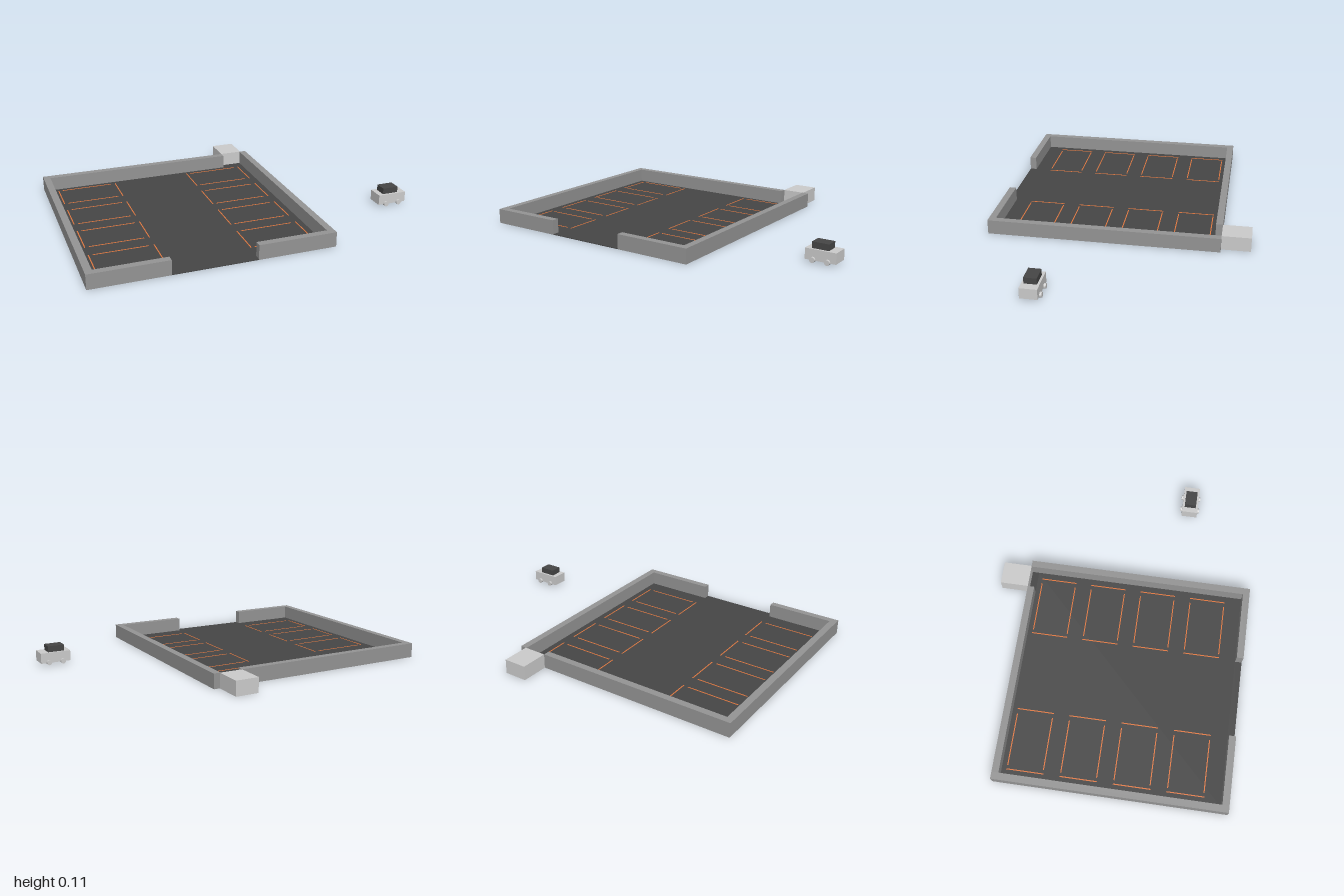
import * as THREE from 'three';

const mat = (color) => new THREE.MeshStandardMaterial({ color });

export function createModel() {
  const model = new THREE.Group();
  const light = mat(0xcccccc), wallGrey = mat(0x949494), dark = mat(0x464646), orange = mat(0xe07840);

  // Box given by its extents on each axis
  function box(parent, name, material, [x0, x1], [y0, y1], [z0, z1]) {
    const mesh = new THREE.Mesh(new THREE.BoxGeometry(x1 - x0, y1 - y0, z1 - z0), material);
    mesh.position.set((x0 + x1) / 2, (y0 + y1) / 2, (z0 + z1) / 2);
    mesh.name = name;
    parent.add(mesh);
  }

  // Asphalt floor, running out through the two wall gaps
  const floorY = [0, 0.004];
  box(model, 'floor', dark, [-0.96, 0.31], floorY, [-0.55, 0.71]);
  box(model, 'entranceFloor', dark, [-0.567, -0.097], floorY, [0.71, 0.75]);
  box(model, 'boothFloor', dark, [0.18, 0.31], floorY, [-0.59, -0.55]);

  // Low perimeter walls
  const wallY = [0, 0.085];
  box(model, 'rightWall', wallGrey, [-1, -0.96], wallY, [-0.59, 0.75]);
  box(model, 'leftWall', wallGrey, [0.31, 0.35], wallY, [-0.59, 0.75]);
  box(model, 'backWall', wallGrey, [-0.96, 0.18], wallY, [-0.59, -0.55]);
  box(model, 'frontWallRight', wallGrey, [-0.96, -0.567], wallY, [0.71, 0.75]);
  box(model, 'frontWallLeft', wallGrey, [-0.097, 0.31], wallY, [0.71, 0.75]);

  // Booth behind the back gap
  box(model, 'booth', light, [0.18, 0.315], wallY, [-0.757, -0.59]);

  // Two columns of four parking bays, each outlined by four painted lines
  const lineY = [0.004, 0.0055], w = 0.003;
  for (const x of [-0.92, -0.086]) {
    for (let row = 0; row < 4; row++) {
      const z = -0.519 + row * 0.307;
      const bay = new THREE.Group();
      bay.name = 'parkingBay';
      for (const dz of [0, 0.207])
        box(bay, 'sideLine', orange, [x + 0.022, x + 0.328], lineY, [z + dz - w, z + dz + w]);
      for (const dx of [0, 0.357])
        box(bay, 'endLine', orange, [x + dx - w, x + dx + w], lineY, [z - 0.004, z + 0.211]);
      model.add(bay);
    }
  }

  // Car parked outside the lot
  const car = new THREE.Group();
  car.name = 'car';
  box(car, 'body', light, [0.825, 1], [0.015, 0.075], [0.28, 0.376]);
  box(car, 'cabin', dark, [0.857, 0.953], [0.075, 0.11], [0.293, 0.363]);
  const wheelGeometry = new THREE.CylinderGeometry(0.015, 0.015, 0.026, 16).rotateX(Math.PI / 2);
  for (const x of [0.871, 0.954]) {
    for (const z of [0.281, 0.375]) {
      const wheel = new THREE.Mesh(wheelGeometry, light);
      wheel.name = 'wheel';
      wheel.position.set(x, 0.019, z);
      car.add(wheel);
    }
  }
  model.add(car);

  return model;
}
